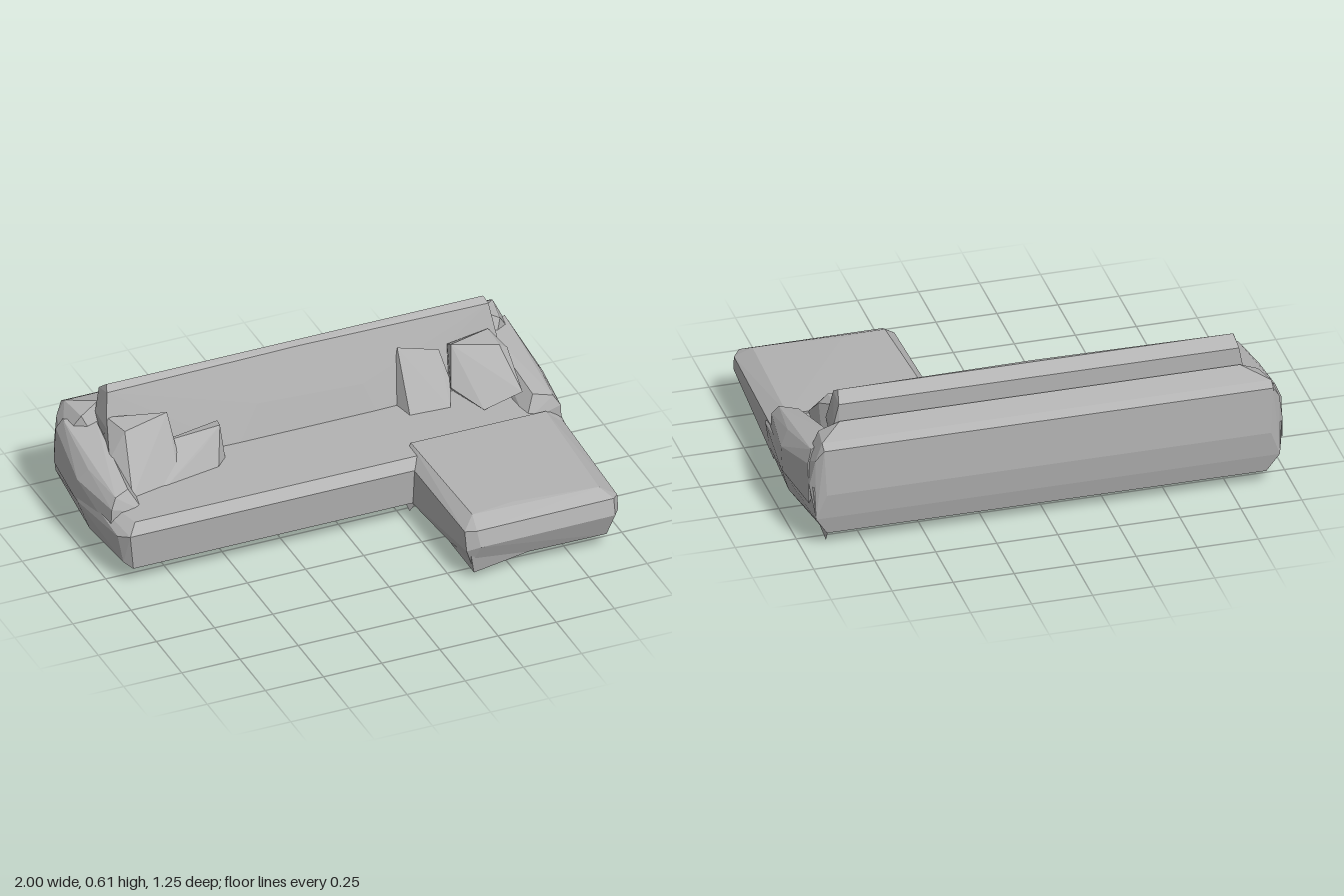
import * as THREE from 'three';
import { ConvexGeometry } from 'three/addons/geometries/ConvexGeometry.js';

const fabric = new THREE.MeshStandardMaterial({ color: 0xb2b2b2, flatShading: true });
fabric.name = 'grey fabric';

// Faceted upholstery block wrapped around a few corner points
function block(name, points) {
  const geo = new ConvexGeometry(points.map(p => new THREE.Vector3(...p)));
  const mesh = new THREE.Mesh(geo, fabric);
  mesh.name = name;
  return mesh;
}

const mirror = points => points.map(([x, y, z]) => [-x, y, z]);
const bothSides = points => [...points, ...mirror(points)];

// Small pointed foot hanging below the base
function foot(x, y, z) {
  return block('foot', [[x, y, z], [x - 0.03, 0.09, z + 0.02], [x + 0.03, 0.09, z + 0.03], [x, 0.09, z - 0.05]]);
}

export function createModel() {
  const sofa = new THREE.Group();
  sofa.name = 'cornerSofa';

  // Wide seat base with bevelled rim
  sofa.add(block('seatBase', bothSides([
    [0.9, 0.06, -0.59], [0.95, 0.14, -0.61], [0.96, 0.28, -0.6],
    [0.96, 0.08, -0.25], [1, 0.2, -0.28], [0.99, 0.28, -0.3],
    [0.89, 0.08, 0.06], [0.95, 0.1, 0.06], [0.97, 0.22, 0.05],
    [0.92, 0.08, 0.09], [0.94, 0.24, 0.105], [0.9, 0.275, 0.06], [0.8, 0.285, -0.28],
  ])));

  // Chaise reaching forward on the left
  sofa.add(block('chaise', [
    [0.32, 0.07, 0.58], [0.9, 0.065, 0.58], [0.29, 0.15, 0.6], [0.34, 0.17, 0.625],
    [0.92, 0.17, 0.62], [0.95, 0.17, 0.58], [0.29, 0.23, 0.58], [0.33, 0.24, 0.61],
    [0.92, 0.24, 0.605], [0.95, 0.23, 0.57], [0.34, 0.275, 0.54], [0.52, 0.277, 0.52], [0.88, 0.272, 0.55],
    [0.28, 0.07, 0], [0.28, 0.24, 0], [0.32, 0.287, -0.02], [0.9, 0.287, -0.02],
    [0.965, 0.24, 0], [0.95, 0.08, 0],
  ]));
  sofa.add(block('chaiseFrontCorner', [
    [0.33, 0.03, 0.58], [0.3, 0.08, 0.42], [0.31, 0.12, 0.6], [0.64, 0.08, 0.58], [0.5, 0.08, 0.45],
  ]));

  // Back shell with a sloped top
  sofa.add(block('backShell', bothSides([
    [0.9, 0.06, -0.59], [0.95, 0.14, -0.61], [0.97, 0.28, -0.58], [0.95, 0.4, -0.6],
    [0.92, 0.45, -0.622], [0.91, 0.25, -0.625], [0.92, 0.47, -0.59],
    [0.82, 0.5, -0.49], [0.9, 0.46, -0.47], [0.82, 0.28, -0.38], [0.97, 0.35, -0.5],
  ])));

  // Sloped arms
  const arm = [
    [0.97, 0.2, -0.58], [0.97, 0.37, -0.56], [0.95, 0.42, -0.54], [0.84, 0.43, -0.46],
    [1, 0.2, -0.3], [1, 0.3, -0.28], [0.965, 0.355, -0.25], [0.86, 0.36, -0.25], [0.8, 0.25, -0.28],
    [0.97, 0.2, -0.02], [0.965, 0.3, -0.02], [0.94, 0.34, -0.04], [0.87, 0.34, -0.08],
    [0.82, 0.25, -0.03],
  ];
  sofa.add(block('leftArm', arm), block('rightArm', mirror(arm)));

  // Long leaning back cushion
  sofa.add(block('backCushion', [
    ...bothSides([
      [0.82, 0.57, -0.48], [0.81, 0.61, -0.43], [0.82, 0.59, -0.4],
      [0.84, 0.47, -0.47], [0.84, 0.45, -0.36], [0.8, 0.27, -0.31], [0.82, 0.27, -0.48],
    ]),
    [-0.2, 0.42, -0.335], [0.25, 0.4, -0.33], [0, 0.6, -0.4], [-0.3, 0.27, -0.29], [0.3, 0.27, -0.29],
  ]));

  // Scatter pillows on the right
  sofa.add(block('rightTallPillow', [
    [-0.83, 0.49, -0.38], [-0.61, 0.51, -0.29], [-0.8, 0.48, -0.27], [-0.87, 0.37, -0.26],
    [-0.6, 0.38, -0.22], [-0.84, 0.28, -0.1], [-0.62, 0.27, -0.14], [-0.58, 0.3, -0.36], [-0.85, 0.3, -0.4],
  ]));
  sofa.add(block('rightLowPillow', [
    [-0.7, 0.4, -0.25], [-0.4, 0.42, -0.25], [-0.39, 0.41, -0.3], [-0.39, 0.28, -0.22],
    [-0.44, 0.28, -0.17], [-0.7, 0.27, -0.12], [-0.5, 0.36, -0.2], [-0.65, 0.3, -0.36], [-0.42, 0.29, -0.35],
  ]));

  // Scatter pillows on the left
  sofa.add(block('leftInnerPillow', [
    [0.41, 0.51, -0.36], [0.58, 0.47, -0.34], [0.4, 0.33, -0.27], [0.4, 0.28, -0.21],
    [0.57, 0.28, -0.2], [0.6, 0.36, -0.27], [0.37, 0.28, -0.34], [0.62, 0.28, -0.36],
  ]));
  sofa.add(block('leftTallPillow', [
    [0.61, 0.515, -0.29], [0.8, 0.49, -0.25], [0.84, 0.46, -0.26], [0.8, 0.5, -0.36], [0.62, 0.48, -0.35],
    [0.58, 0.36, -0.22], [0.68, 0.29, -0.12], [0.84, 0.34, -0.11], [0.62, 0.28, -0.34], [0.85, 0.3, -0.36],
  ]));

  // Pointed feet
  sofa.add(foot(0.89, 0, -0.54), foot(0.28, 0.025, 0.06), foot(0.24, 0.03, -0.53));

  return sofa;
}
